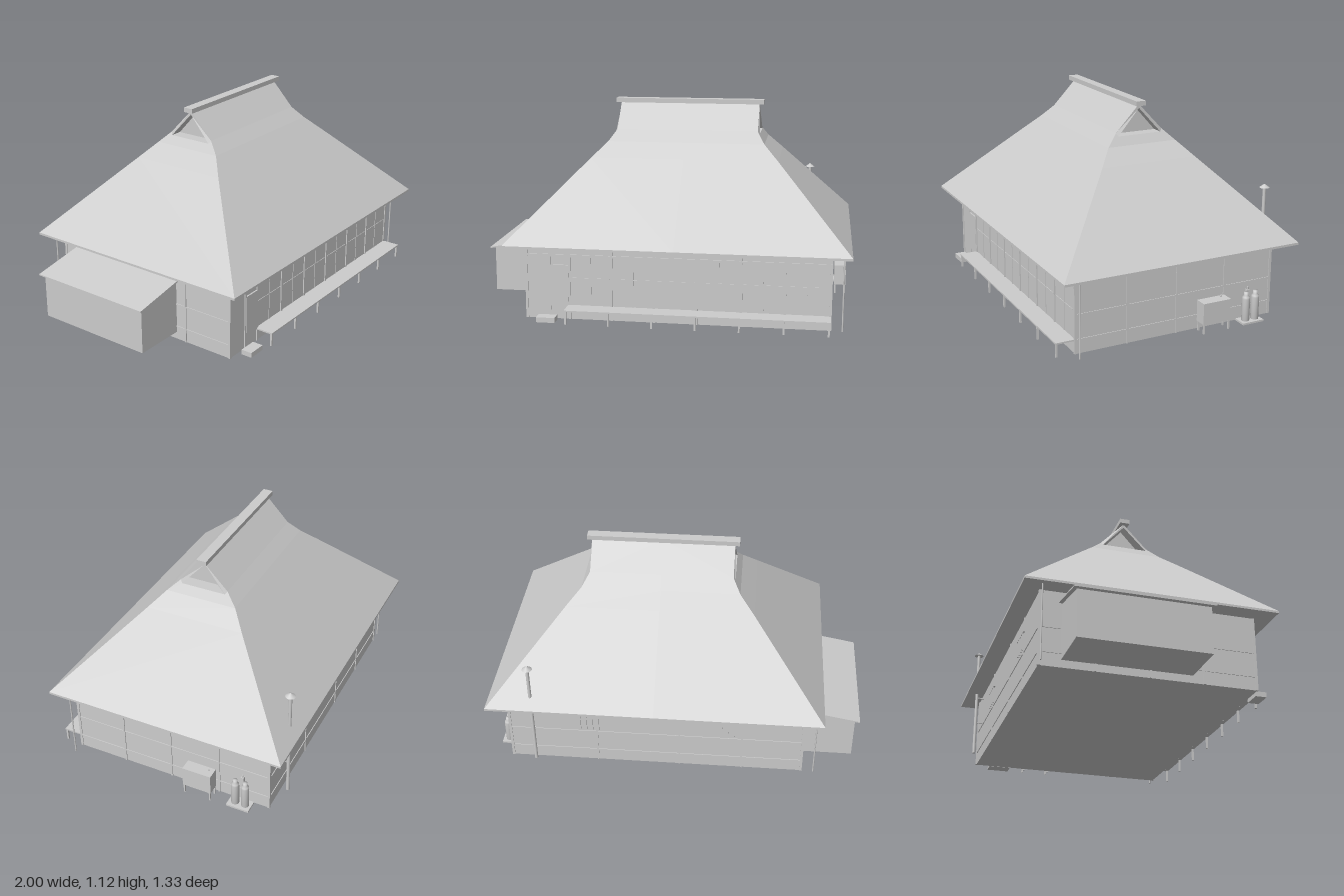
import * as THREE from 'three';

const plaster = new THREE.MeshStandardMaterial({ color: 0xcccccc, side: THREE.DoubleSide });
plaster.name = 'pale grey';

function add(parent, name, geometry, x = 0, y = 0, z = 0) {
  const mesh = new THREE.Mesh(geometry, plaster);
  mesh.name = name;
  mesh.position.set(x, y, z);
  parent.add(mesh);
  return mesh;
}

// Box given by its lower and upper limits on each axis
function box(parent, name, x0, x1, y0, y1, z0, z1) {
  return add(parent, name, new THREE.BoxGeometry(x1 - x0, y1 - y0, z1 - z0),
    (x0 + x1) / 2, (y0 + y1) / 2, (z0 + z1) / 2);
}

// Upright round bar
function pipe(parent, name, x, z, y0, y1, r, sides = 12) {
  return add(parent, name, new THREE.CylinderGeometry(r, r, y1 - y0, sides), x, (y0 + y1) / 2, z);
}

// Flat-faced surface from polygons of three or four corners
function facets(polygons) {
  const out = [];
  for (const p of polygons) {
    for (let i = 2; i < p.length; i++) out.push(...p[0], ...p[i - 1], ...p[i]);
  }
  const g = new THREE.BufferGeometry();
  g.setAttribute('position', new THREE.Float32BufferAttribute(out, 3));
  g.computeVertexNormals();
  return g;
}

// One half of the hip-and-gable roof, from the middle out to +x
function halfRoof() {
  const rows = [ // height, half length, half depth
    [0.398, 0.9, 0.662], [0.41, 0.9, 0.662], [0.82, 0.505, 0.27],
    [0.9, 0.425, 0.195], [0.96, 0.385, 0.133], [1.1, 0.385, 0],
  ];
  const polys = [];
  for (let i = 0; i < rows.length - 1; i++) {
    const [y0, x0, z0] = rows[i], [y1, x1, z1] = rows[i + 1];
    polys.push([[0, y0, z0], [x0, y0, z0], [x1, y1, z1], [0, y1, z1]]);
    polys.push([[x0, y0, -z0], [0, y0, -z0], [0, y1, -z1], [x1, y1, -z1]]);
    if (i < 3) polys.push([[x0, y0, z0], [x0, y0, -z0], [x1, y1, -z1], [x1, y1, z1]]);
  }
  // top of the hip, verge boards and the recess of the gable
  const d = 0.33;
  polys.push([[0.425, 0.9, 0.195], [0.425, 0.9, -0.195], [0.395, 0.945, -0.122], [0.395, 0.945, 0.122]]);
  polys.push([[0.395, 0.945, 0.122], [0.395, 0.945, -0.122], [d, 0.945, -0.122], [d, 0.945, 0.122]]);
  polys.push([[d, 0.945, 0.122], [d, 0.945, -0.122], [d, 1.08, 0]]);
  for (const s of [1, -1]) {
    const flip = (p) => (s > 0 ? p : p.reverse());
    polys.push(flip([[0.425, 0.9, s * 0.195], [0.395, 0.945, s * 0.122], [0.385, 0.96, s * 0.133]]));
    polys.push(flip([[0.385, 0.96, s * 0.133], [0.395, 0.945, s * 0.122], [0.385, 1.08, 0], [0.385, 1.1, 0]]));
    polys.push(flip([[0.395, 0.945, s * 0.122], [d, 0.945, s * 0.122], [d, 1.08, 0], [0.385, 1.08, 0]]));
  }
  // soffit
  polys.push([[0, 0.398, -0.662], [0.9, 0.398, -0.662], [0.9, 0.398, 0.662], [0, 0.398, 0.662]]);
  return facets(polys);
}

function buildRoof(parent) {
  const roof = new THREE.Group();
  roof.name = 'roof';
  const g = halfRoof();
  for (const s of [1, -1]) add(roof, 'roofHalf', g, 0.1).scale.x = s;
  box(roof, 'ridgeCap', -0.31, 0.51, 1.095, 1.12, -0.027, 0.027);
  parent.add(roof);
}

function buildWalls(parent) {
  const walls = new THREE.Group();
  walls.name = 'walls';
  box(walls, 'wallBlock', -0.7, 0.9, 0, 0.4, -0.562, 0.562);
  // corner posts
  for (const x of [-0.697, 0.897]) for (const z of [-0.56, 0.56]) {
    box(walls, 'cornerPost', x - 0.007, x + 0.007, 0, 0.4, z - 0.007, z + 0.007);
  }
  // front: bay posts, sliding panel frames and rails
  for (const x of [-0.57, -0.465, -0.24, -0.015, 0.21, 0.44, 0.665]) {
    box(walls, 'frontPost', x - 0.006, x + 0.006, 0, 0.4, 0.56, 0.568);
  }
  for (const x of [-0.352, -0.127, 0.098, 0.325, 0.552, 0.777]) {
    box(walls, 'panelFrame', x - 0.003, x + 0.003, 0.075, 0.34, 0.56, 0.565);
    box(walls, 'panelRail', x - 0.1, x + 0.1, 0.222, 0.227, 0.56, 0.565);
  }
  box(walls, 'frontLintel', -0.7, 0.9, 0.34, 0.352, 0.56, 0.568);
  box(walls, 'frontDoor', -0.565, -0.47, 0.07, 0.295, 0.562, 0.57);
  // back: posts and rails
  for (const x of [0.42, -0.03, -0.37]) {
    box(walls, 'backPost', x - 0.005, x + 0.005, 0, 0.4, -0.567, -0.56);
  }
  for (const y of [0.07, 0.2]) {
    box(walls, 'backRail', -0.7, 0.9, y, y + 0.007, -0.566, -0.56);
    box(walls, 'sideRail', 0.898, 0.904, y, y + 0.007, -0.56, 0.56);
    box(walls, 'sideRail', -0.704, -0.698, y, y + 0.007, -0.56, 0.56);
  }
  for (const z of [-0.28, 0, 0.28]) {
    box(walls, 'sidePost', 0.898, 0.905, 0, 0.4, z - 0.005, z + 0.005);
    box(walls, 'sidePost', -0.705, -0.698, 0, 0.4, z - 0.005, z + 0.005);
  }
  // barred windows at the back
  for (const cx of [0.46, -0.31]) {
    for (let i = 0; i < 4; i++) {
      const x = cx + (i - 1.5) * 0.033;
      box(walls, 'windowBar', x - 0.004, x + 0.004, 0.22, 0.315, -0.572, -0.56);
    }
    box(walls, 'windowHead', cx - 0.075, cx + 0.075, 0.312, 0.32, -0.572, -0.56);
  }
  // downpipes at two opposite corners
  pipe(walls, 'downpipe', 0.96, 0.565, 0, 0.4, 0.004, 8);
  pipe(walls, 'downpipe', -0.765, -0.565, 0, 0.4, 0.004, 8);
  parent.add(walls);
}

function buildVeranda(parent) {
  const veranda = new THREE.Group();
  veranda.name = 'veranda';
  box(veranda, 'deck', -0.475, 0.9, 0.069, 0.077, 0.562, 0.665);
  for (let i = 0; i < 7; i++) {
    const x = -0.468 + i * 0.2265;
    box(veranda, 'deckLeg', x - 0.005, x + 0.005, 0, 0.07, 0.653, 0.663);
  }
  box(veranda, 'doorStep', -0.63, -0.53, 0, 0.027, 0.585, 0.645);
  parent.add(veranda);
}

function buildLeanTo(parent) {
  const leanTo = new THREE.Group();
  leanTo.name = 'leanTo';
  // body with a sloping top under a thin shed roof
  const prism = (points, z0, z1) => {
    const shape = new THREE.Shape(points.map(([x, y]) => new THREE.Vector2(x, y)));
    return new THREE.ExtrudeGeometry(shape, { depth: z1 - z0, bevelEnabled: false }).translate(0, 0, z0);
  };
  add(leanTo, 'leanToBody', prism([[-0.975, 0.04], [-0.69, 0.04], [-0.69, 0.338], [-0.975, 0.285]], -0.45, 0.22));
  add(leanTo, 'leanToRoof', prism([[-1, 0.284], [-0.69, 0.341], [-0.69, 0.349], [-1, 0.291]], -0.468, 0.238));
  parent.add(leanTo);
}

function buildUtilities(parent) {
  // water heater on legs
  const heater = new THREE.Group();
  heater.name = 'heater';
  box(heater, 'heaterCase', 0.92, 0.985, 0.052, 0.165, -0.27, -0.11);
  for (const x of [0.926, 0.979]) for (const z of [-0.263, -0.117]) {
    box(heater, 'heaterLeg', x - 0.004, x + 0.004, 0, 0.055, z - 0.004, z + 0.004);
  }
  pipe(heater, 'heaterVent', 0.94, -0.24, 0.16, 0.176, 0.005);

  // gas bottles on a slab
  const gas = new THREE.Group();
  gas.name = 'gasBottles';
  box(gas, 'slab', 0.905, 0.98, 0, 0.01, -0.48, -0.355);
  const profile = [[0, 0.01], [0.021, 0.01], [0.021, 0.13], [0.019, 0.139], [0.012, 0.148], [0.012, 0.165], [0, 0.165]]
    .map(([r, y]) => new THREE.Vector2(r, y));
  for (const z of [-0.391, -0.447]) add(gas, 'bottle', new THREE.LatheGeometry(profile, 20), 0.943, 0, z);
  pipe(gas, 'gasPipe', 0.912, -0.419, 0.01, 0.18, 0.004, 8);
  box(gas, 'gasMeter', 0.903, 0.92, 0.11, 0.165, -0.427, -0.411);

  // stove pipe with conical cap and wall brackets
  const flue = new THREE.Group();
  flue.name = 'stovePipe';
  pipe(flue, 'flue', 0.76, -0.605, 0.025, 0.655, 0.009, 16);
  add(flue, 'flueCap', new THREE.ConeGeometry(0.027, 0.02, 16), 0.76, 0.66, -0.605);
  for (const y of [0.215, 0.373]) box(flue, 'bracket', 0.756, 0.764, y - 0.003, y + 0.003, -0.605, -0.56);
  parent.add(heater, gas, flue);
}

export function createModel() {
  const house = new THREE.Group();
  house.name = 'farmhouse';
  buildRoof(house);
  buildWalls(house);
  buildVeranda(house);
  buildLeanTo(house);
  buildUtilities(house);
  return house;
}
